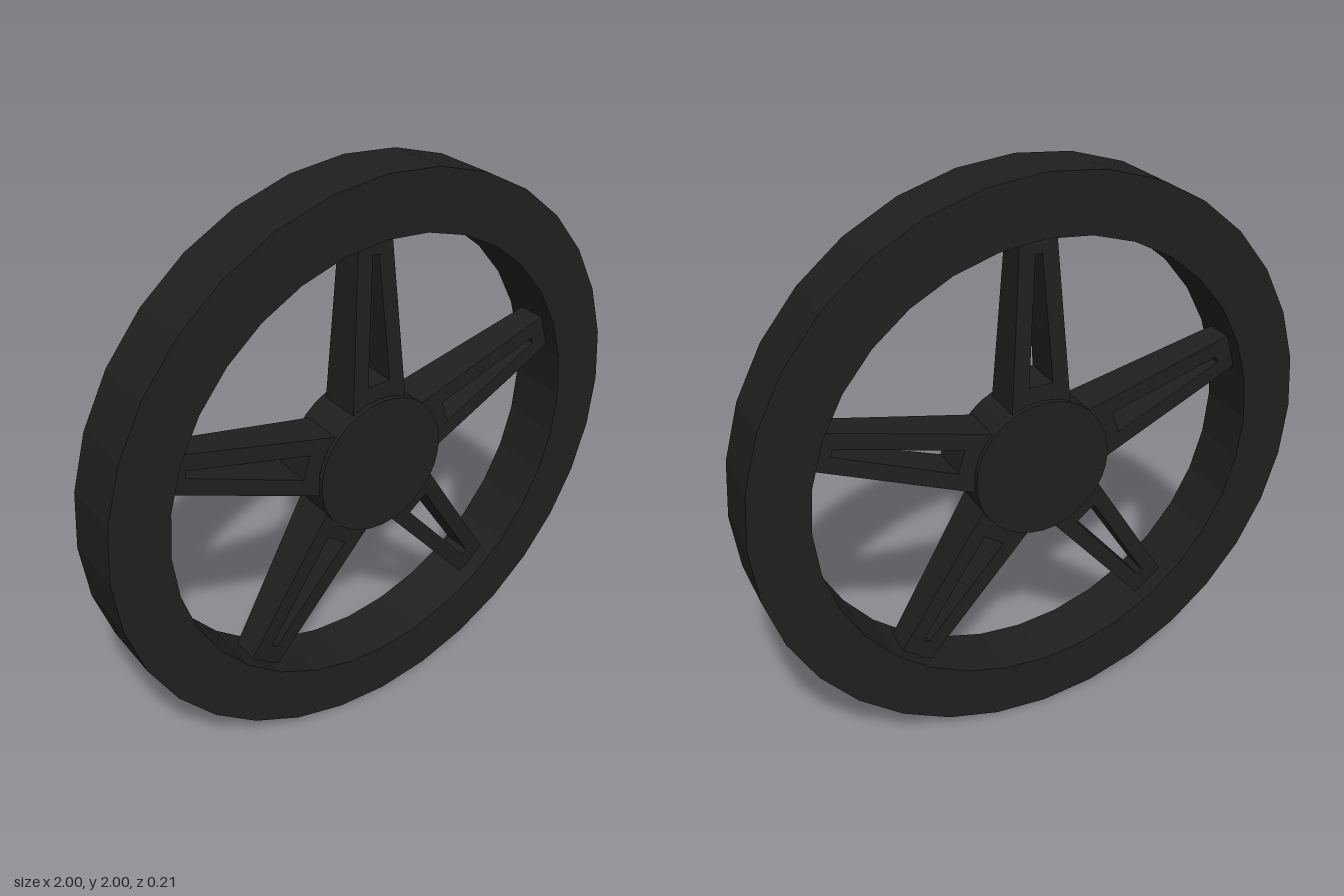
import * as THREE from 'three';

const SIDES = 32;
const material = new THREE.MeshStandardMaterial({ color: 0x1f1f1f, flatShading: true });

// Regular polygon with a corner at the top, counter-clockwise
function ring(radius) {
  return Array.from({ length: SIDES }, (_, i) => {
    const a = (i / SIDES) * Math.PI * 2;
    return new THREE.Vector2(-Math.sin(a) * radius, Math.cos(a) * radius);
  });
}

// Tapered bar along +y, from half-width w0 at y0 to w1 at y1
function taper(y0, w0, y1, w1) {
  return [[-w0, y0], [w0, y0], [w1, y1], [-w1, y1]].map(([x, y]) => new THREE.Vector2(x, y));
}

// Plate with an optional hole, centred on z = 0
function plate(outline, hole, depth) {
  const shape = new THREE.Shape(outline);
  if (hole) shape.holes.push(new THREE.Path(hole));
  const geometry = new THREE.ExtrudeGeometry(shape, { depth, bevelEnabled: false });
  return geometry.translate(0, 0, -depth / 2);
}

function addMesh(parent, name, geometry) {
  const mesh = new THREE.Mesh(geometry, material);
  mesh.name = name;
  parent.add(mesh);
  return mesh;
}

export function createModel() {
  const model = new THREE.Group();
  model.name = 'wheel';

  const wheel = new THREE.Group();
  wheel.name = 'wheelBody';
  wheel.position.y = 1;
  model.add(wheel);

  // Outer rim and solid hub
  addMesh(wheel, 'rim', plate(ring(1), ring(0.8), 0.214));
  addMesh(wheel, 'hub', plate(ring(0.245), null, 0.184));

  // Slotted spoke, thinner in depth towards the rim
  const spoke = plate(taper(0.17, 0.109, 0.8, 0.063), taper(0.3, 0.043, 0.735, 0.012), 2);
  const pos = spoke.attributes.position;
  for (let i = 0; i < pos.count; i++) {
    const t = (pos.getY(i) - 0.17) / 0.63;
    pos.setZ(i, pos.getZ(i) * THREE.MathUtils.lerp(0.077, 0.049, t));
  }
  spoke.computeVertexNormals();

  for (let i = 0; i < 5; i++) {
    addMesh(wheel, `spoke${i + 1}`, spoke).rotation.z = (i / 5) * Math.PI * 2;
  }

  return model;
}
